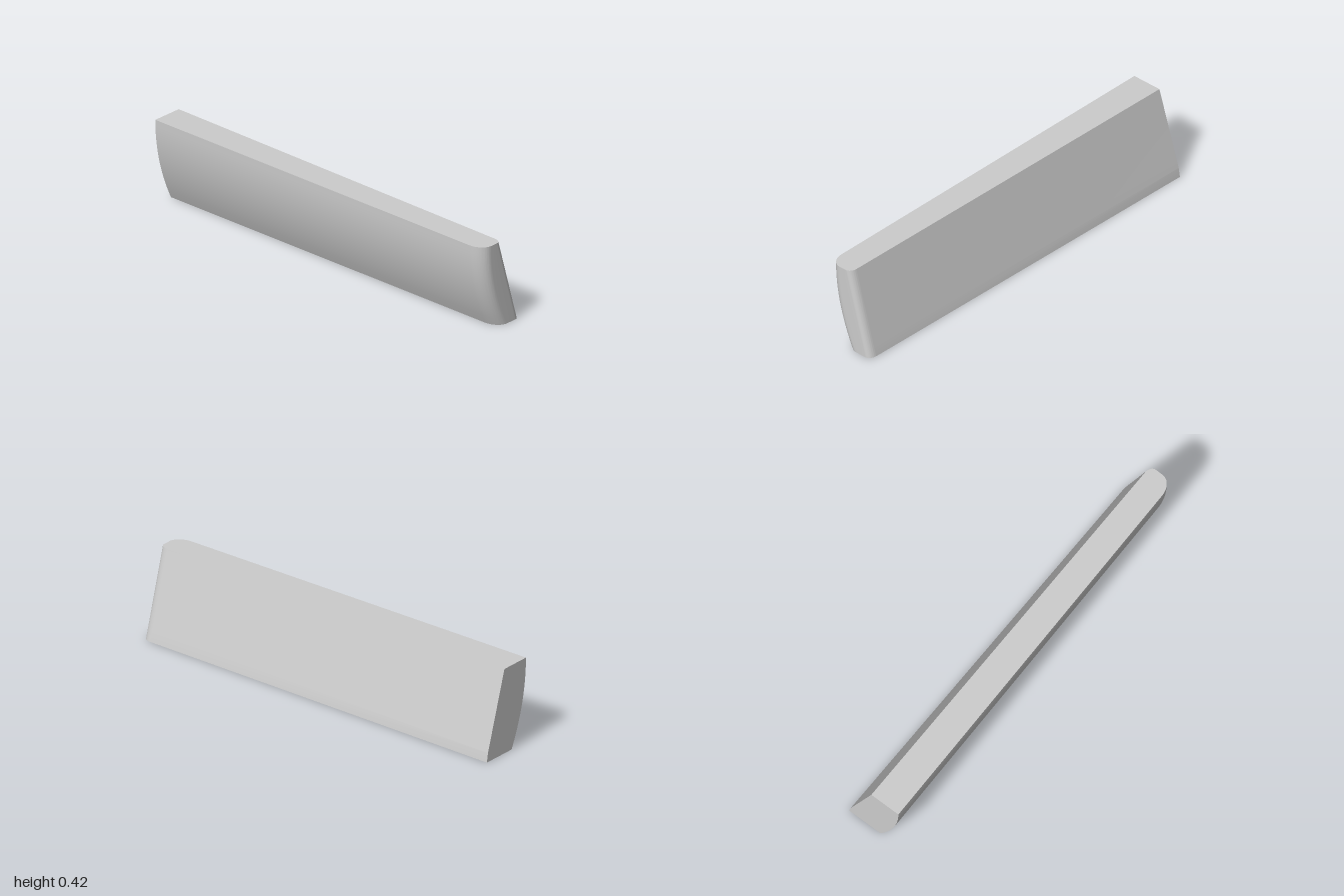
import * as THREE from 'three';
import { toCreasedNormals } from 'three/addons/utils/BufferGeometryUtils.js';

const H = 0.417, KINK = 0.045, ARC = 20;
const lerp = THREE.MathUtils.lerp;

// Plan outline at height y, counter-clockwise seen from above
function outline(y) {
  const left = -0.14 + 0.102 * (1 - y / H) ** 2;
  const backRight = y < KINK
    ? lerp(0.138, 0.13, y / KINK)
    : lerp(0.13, 0.013, (y - KINK) / (H - KINK));
  const frontRight = lerp(0.108, -0.012, y / H);
  const ring = [[backRight, -1], [left, -1]];
  // large rounded corner on the curved side
  for (let i = 0; i <= ARC; i++) {
    const a = (i / ARC) * Math.PI / 2;
    ring.push([left + 0.06 * (1 - Math.cos(a)), 0.92 + 0.08 * Math.sin(a)]);
  }
  // small rounded corner on the flat side
  for (let i = 0; i <= ARC; i++) {
    const a = (i / ARC) * Math.PI / 2;
    ring.push([frontRight - 0.03 * (1 - Math.sin(a)), 0.96 + 0.04 * Math.cos(a)]);
  }
  return ring.map(([x, z]) => [x, y, z]);
}

function barGeometry() {
  const heights = [0, KINK];
  for (let i = 1; i <= 10; i++) heights.push(lerp(KINK, H, i / 10));
  const rings = heights.map(outline);
  const n = rings[0].length, pos = [];
  const tri = (a, b, c) => pos.push(...a, ...b, ...c);
  // sides; the diagonal forms the tapering bevel along the lower edge
  for (let j = 0; j < rings.length - 1; j++) {
    for (let i = 0; i < n; i++) {
      const k = (i + 1) % n, lo = rings[j], hi = rings[j + 1];
      tri(lo[i], lo[k], hi[k]);
      tri(lo[i], hi[k], hi[i]);
    }
  }
  // flat top and bottom
  const bottom = rings[0], top = rings[rings.length - 1];
  for (let i = 1; i < n - 1; i++) {
    tri(top[0], top[i], top[i + 1]);
    tri(bottom[0], bottom[i + 1], bottom[i]);
  }
  const g = new THREE.BufferGeometry();
  g.setAttribute('position', new THREE.Float32BufferAttribute(pos, 3));
  return toCreasedNormals(g, 0.125);
}

export function createModel() {
  const group = new THREE.Group();
  group.name = 'curvedBar';
  const bar = new THREE.Mesh(barGeometry(), new THREE.MeshStandardMaterial({ color: 0xcccccc }));
  bar.name = 'barBody';
  group.add(bar);
  return group;
}
